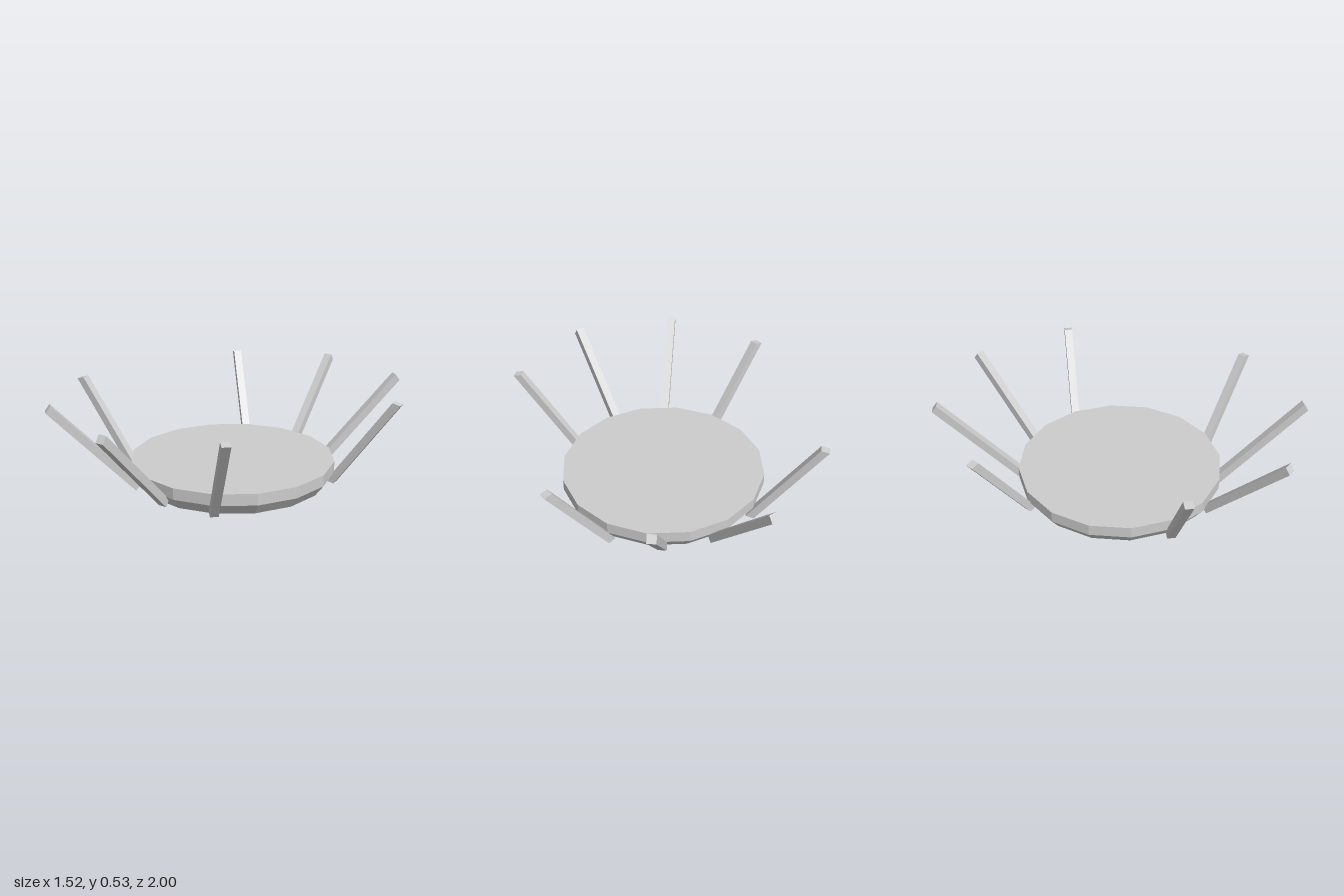
import * as THREE from 'three';

const UP = new THREE.Vector3(0, 1, 0);

// Square bar leaning outward; its end caps are cut along `run` (outward) and `drop` (down).
function makeBar(bottom, top, width, run, drop, material) {
  const along = top.clone().sub(bottom);
  const out = new THREE.Vector3(along.x, 0, along.z).normalize();
  const side = new THREE.Vector3().crossVectors(UP, out).multiplyScalar(width);
  const cap = out.clone().multiplyScalar(run).addScaledVector(UP, -drop);
  const shear = new THREE.Matrix4().makeBasis(side, along, cap);
  shear.setPosition(bottom.clone().add(top).multiplyScalar(0.5));
  const geometry = new THREE.BoxGeometry(1, 1, 1).applyMatrix4(shear);
  return new THREE.Mesh(geometry, material);
}

export function createModel() {
  const model = new THREE.Group();
  model.name = 'discWithLegs';

  const grey = new THREE.MeshStandardMaterial({ color: 0xcccccc, flatShading: true });
  grey.name = 'lightGrey';

  // Sixteen-sided disc with a chamfered lower rim
  const rim = new THREE.Mesh(new THREE.CylinderGeometry(0.583, 0.583, 0.065, 16, 1), grey);
  rim.geometry.translate(0, 0.0965, 0);
  rim.name = 'discRim';
  const chamfer = new THREE.Mesh(new THREE.CylinderGeometry(0.583, 0.535, 0.064, 16, 1, true), grey);
  chamfer.geometry.translate(0, 0.032, 0);
  chamfer.name = 'discChamfer';
  const base = new THREE.Mesh(new THREE.CircleGeometry(0.535, 16).rotateX(Math.PI / 2), grey);
  base.name = 'discUnderside';
  model.add(rim, chamfer, base);

  // Eight splayed legs, mirrored across both axes
  for (const sx of [1, -1]) {
    for (const sz of [1, -1]) {
      const at = (x, y, z) => new THREE.Vector3(sx * x, y, sz * z);
      const suffix = (sz > 0 ? 'Front' : 'Back') + (sx > 0 ? 'Left' : 'Right');

      const longLeg = makeBar(at(0.14, 0.024, 0.545), at(0.3, 0.511, 0.979), 0.048, 0.027, 0.037, grey);
      longLeg.name = 'longLeg' + suffix;

      const sideLeg = makeBar(at(0.4, 0.011, 0.404), at(0.73, 0.522, 0.558), 0.046, 0.045, 0.011, grey);
      sideLeg.name = 'sideLeg' + suffix;

      model.add(longLeg, sideLeg);
    }
  }
  return model;
}
